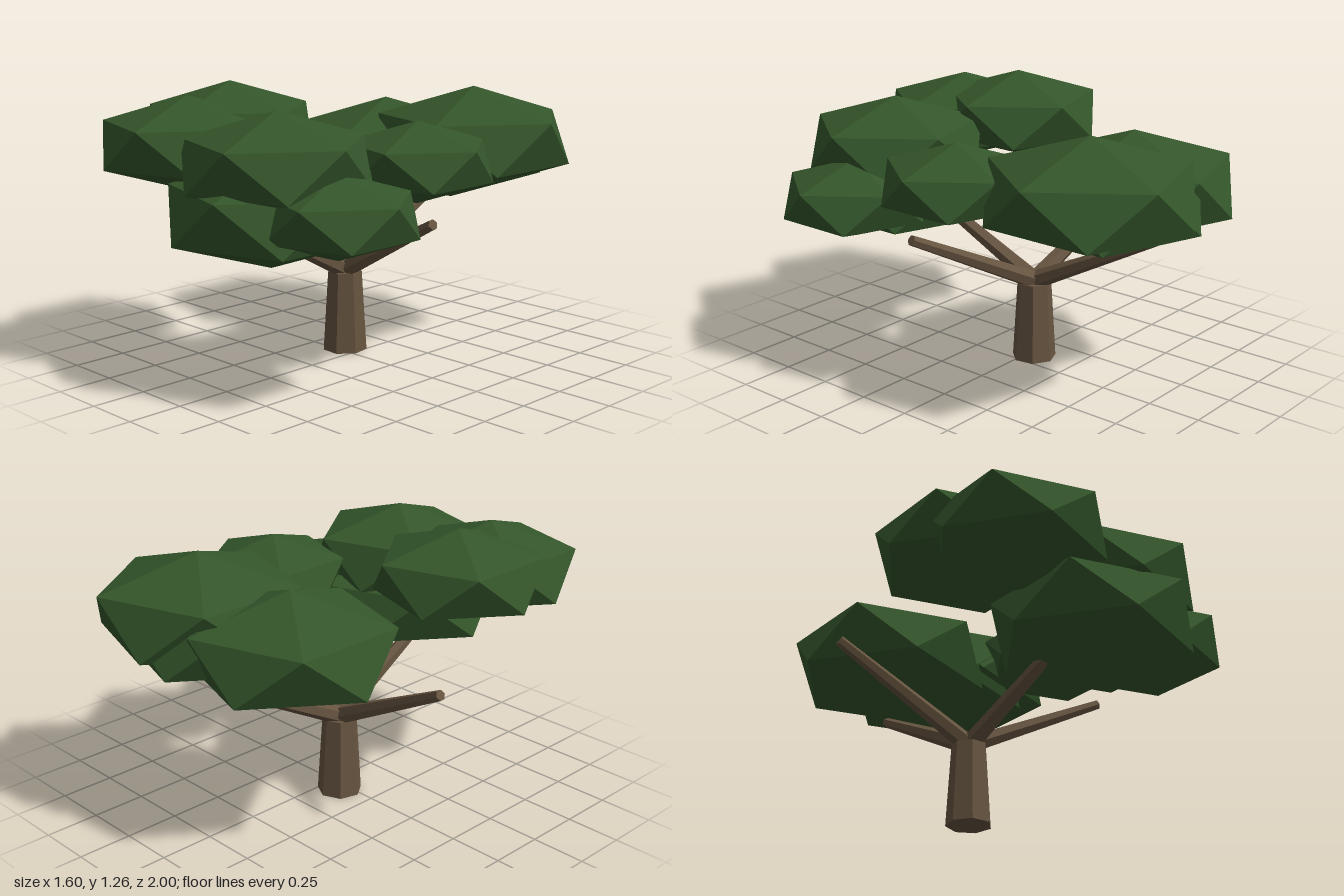
import * as THREE from 'three';

const V = (x, y, z) => new THREE.Vector3(x, y, z);

// Squashed icosahedron with an apex on top and two staggered rings of five.
function leafGeometry() {
  const ringY = 1 / Math.sqrt(5), ringR = 2 * ringY;
  const ring = (k, y) => {
    const a = k * Math.PI / 5;
    return V(ringR * Math.cos(a), y, ringR * Math.sin(a));
  };
  const top = V(0, 1, 0), bottom = V(0, -1, 0), points = [];
  for (let k = 0; k < 10; k += 2) {
    const u0 = ring(k, ringY), u1 = ring(k + 2, ringY);
    const l0 = ring(k + 1, -ringY), l1 = ring(k + 3, -ringY);
    points.push(top, u1, u0, u0, u1, l0, l0, u1, l1, bottom, l0, l1);
  }
  const geometry = new THREE.BufferGeometry().setFromPoints(points);
  geometry.scale(1, 0.49, 1);
  geometry.computeVertexNormals();
  return geometry;
}

export function createModel() {
  const model = new THREE.Group();
  model.name = 'tree';

  const bark = new THREE.MeshStandardMaterial({ color: 0x665440, flatShading: true });
  bark.name = 'brown bark';
  const foliage = new THREE.MeshStandardMaterial({ color: 0x34562b, flatShading: true });
  foliage.name = 'dark green foliage';

  // Tapered seven-sided trunk
  const trunk = new THREE.Mesh(
    new THREE.CylinderGeometry(0.08, 0.103, 0.375, 7, 1, false, THREE.MathUtils.degToRad(74.2)), bark);
  trunk.position.set(-0.08, 0.1875, -0.037);
  trunk.name = 'trunk';
  model.add(trunk);

  // Four branches spreading from the trunk top
  const fork = V(-0.08, 0.38, -0.04);
  const tips = {
    rightBranch: V(-0.74, 0.715, -0.105),
    leftBranch: V(0.58, 0.715, 0.1),
    frontBranch: V(-0.04, 0.715, 0.62),
    backBranch: V(-0.08, 0.715, -0.7),
  };
  for (const [name, tip] of Object.entries(tips)) {
    const along = tip.clone().sub(fork);
    const branch = new THREE.Mesh(new THREE.CylinderGeometry(0.024, 0.043, along.length(), 6), bark);
    branch.position.copy(fork).addScaledVector(along, 0.5);
    branch.quaternion.setFromUnitVectors(V(0, 1, 0), along.normalize());
    branch.name = name;
    model.add(branch);
  }

  // Leaf clumps: name, x, y, z, radius
  const leaf = leafGeometry();
  const clumps = [
    ['backLeftClump', 0.228, 0.97, -0.575, 0.5],
    ['backRightClump', -0.233, 0.89, -0.47, 0.5],
    ['backLowerClump', 0.11, 0.91, -0.56, 0.47],
    ['leftClump', 0.398, 0.945, 0, 0.366],
    ['rightClump', -0.425, 1.055, 0.345, 0.42],
    ['frontRightClump', -0.365, 1.015, 0.637, 0.425],
    ['frontLeftClump', 0.16, 0.98, 0.593, 0.45],
    ['frontOuterClump', 0.472, 0.797, 0.545, 0.367],
    ['frontLowerClump', 0.105, 0.77, 0.58, 0.49],
  ];
  for (const [name, x, y, z, radius] of clumps) {
    const clump = new THREE.Mesh(leaf, foliage);
    clump.position.set(x, y, z);
    clump.scale.setScalar(radius);
    clump.name = name;
    model.add(clump);
  }
  return model;
}
